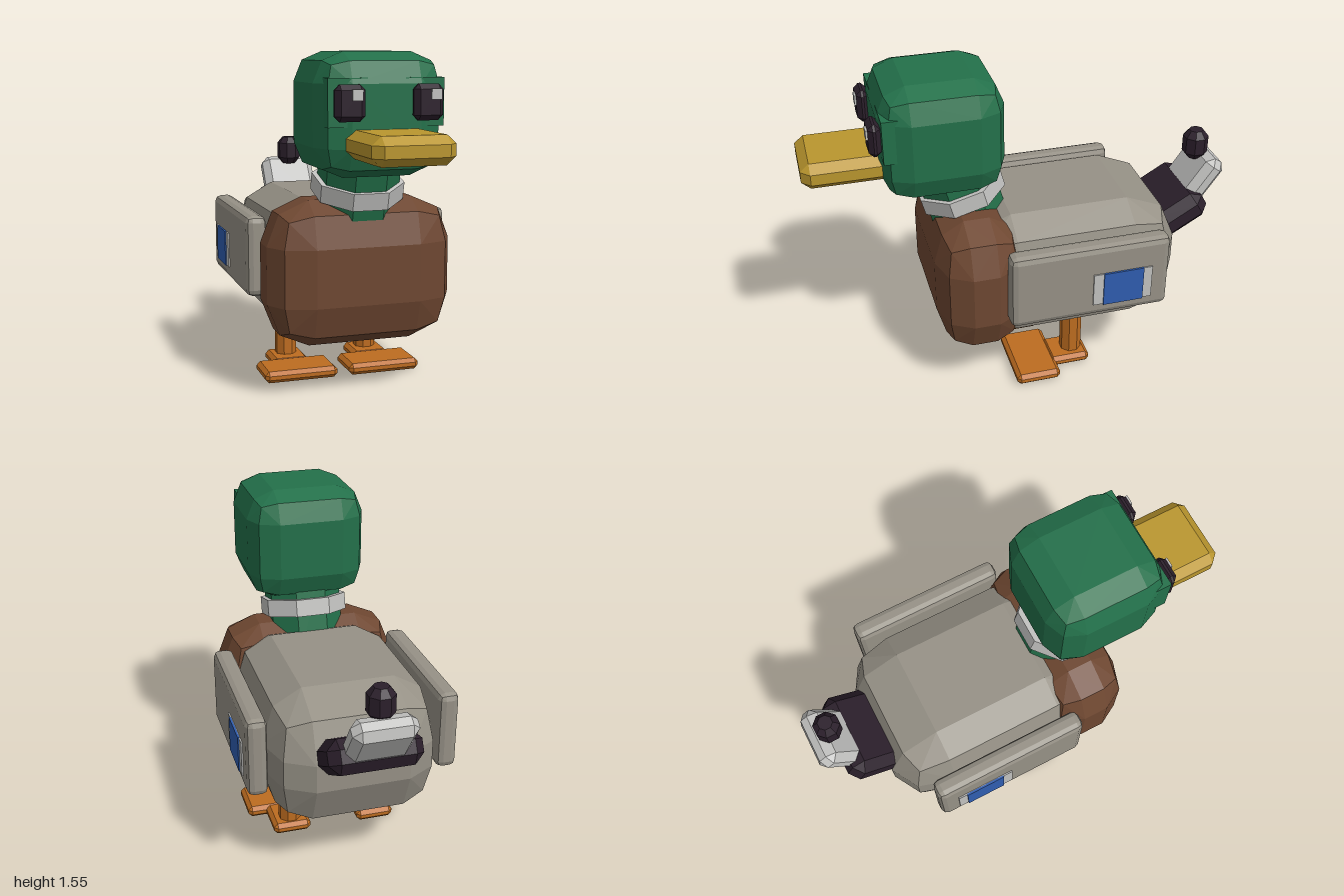
import * as THREE from 'three';
import { ConvexGeometry } from 'three/addons/geometries/ConvexGeometry.js';

const paint = (name, color) => {
  const m = new THREE.MeshStandardMaterial({ color });
  m.name = name;
  return m;
};

// Box with bevelled edges; soft adds a second bevel step. Radii may differ per axis.
function bevelBox([w, h, d], [rx, ry, rz], soft = false) {
  const dirs = [[1, 0, 0], [0, 1, 0], [0, 0, 1]];
  if (soft) dirs.push([1, 1, 0], [1, 0, 1], [0, 1, 1], [1, 1, 1]);
  const points = [];
  for (const sx of [-1, 1]) for (const sy of [-1, 1]) for (const sz of [-1, 1]) {
    for (const dir of dirs) {
      const n = new THREE.Vector3(...dir).normalize();
      points.push(new THREE.Vector3(
        sx * (w / 2 - rx + rx * n.x),
        sy * (h / 2 - ry + ry * n.y),
        sz * (d / 2 - rz + rz * n.z)));
    }
  }
  return new ConvexGeometry(points);
}

// Eight-sided post with flat sides facing the axes
const octagon = (r, h) => new THREE.CylinderGeometry(r, r, h, 8).rotateY(Math.PI / 8).toNonIndexed();

export function createModel() {
  const green = paint('head green', 0x23704a);
  const brown = paint('chest brown', 0x6e4731);
  const grey = paint('body grey', 0x969186);
  const white = paint('pale grey', 0xc2c2c0);
  const dark = paint('dark plum', 0x2b1f2b);
  const yellow = paint('bill yellow', 0xba962e);
  const orange = paint('foot orange', 0xbd6c20);
  const blue = paint('wing blue', 0x2f5db0);
  const model = new THREE.Group();
  model.name = 'duck';

  function add(name, geometry, material, [x, y, z], tilt = 0) {
    geometry.computeVertexNormals();
    const mesh = new THREE.Mesh(geometry, material);
    mesh.name = name;
    mesh.position.set(x, y, z);
    mesh.rotation.x = THREE.MathUtils.degToRad(tilt);
    model.add(mesh);
    return mesh;
  }

  // Body and chest
  add('body', bevelBox([0.78, 0.63, 1.06], [0.18, 0.25, 0.25], true), grey, [0, 0.565, -0.18]);
  add('chest', bevelBox([0.86, 0.66, 0.4], [0.19, 0.2, 0.14], true), brown, [0, 0.57, 0.265]);

  // Neck and collar lean forward
  add('neck', octagon(0.185, 0.46), green, [0, 0.95, 0.292], 15);
  add('collar', octagon(0.209, 0.08), white, [0, 0.95, 0.287], 15);

  // Head and bill
  add('head', bevelBox([0.56, 0.525, 0.555], [0.13, 0.13, 0.13], true), green, [0, 1.283, 0.388]);
  add('bill', bevelBox([0.35, 0.12, 0.4], [0.04, 0.035, 0.04]), yellow, [0, 1.17, 0.8]);

  // Eyes; both glints sit on the same side
  for (const s of [-1, 1]) {
    add('eyeSocket', new THREE.BoxGeometry(0.17, 0.2, 0.1), green, [s * 0.168, 1.34, 0.607]);
    add('eye', bevelBox([0.13, 0.15, 0.055], [0.022, 0.022, 0.022]), dark, [s * 0.17, 1.34, 0.684]);
    add('eyeGlint', new THREE.BoxGeometry(0.045, 0.045, 0.009), white, [s * 0.17 + 0.025, 1.373, 0.715]);
  }

  // Wings with banded side patches
  for (const s of [-1, 1]) {
    add('wing', bevelBox([0.095, 0.37, 0.75], [0.03, 0.03, 0.03], true), grey, [s * 0.434, 0.625, -0.207]);
    add('wingBand', new THREE.BoxGeometry(0.009, 0.165, 0.28), white, [s * 0.4835, 0.587, -0.355]);
    add('wingPatch', new THREE.BoxGeometry(0.009, 0.17, 0.19), blue, [s * 0.489, 0.587, -0.357]);
  }

  // Tail rises in two steps to a dark curl
  add('tailBase', bevelBox([0.41, 0.15, 0.32], [0.045, 0.045, 0.045]), dark, [0, 0.69, -0.745], 30);
  add('tailFeather', bevelBox([0.28, 0.11, 0.3], [0.035, 0.035, 0.035]), white, [0, 0.82, -0.88], 55);
  const curl = [[0, -0.073], [0.034, -0.073], [0.061, -0.04], [0.061, 0.04], [0.034, 0.073], [0, 0.073]]
    .map(([r, y]) => new THREE.Vector2(r, y));
  add('tailCurl', new THREE.LatheGeometry(curl, 8).rotateY(Math.PI / 8).toNonIndexed(), dark, [0, 0.998, -0.885]);

  // Legs and two-part feet
  for (const s of [-1, 1]) {
    add('leg', octagon(0.053, 0.26), orange, [s * 0.207, 0.17, -0.205]);
    add('toes', bevelBox([0.355, 0.055, 0.215], [0.018, 0.018, 0.018]), orange, [s * 0.207, 0.0275, 0.0025]);
    add('heel', bevelBox([0.18, 0.054, 0.2], [0.018, 0.018, 0.018]), orange, [s * 0.207, 0.0275, -0.18]);
  }
  return model;
}
